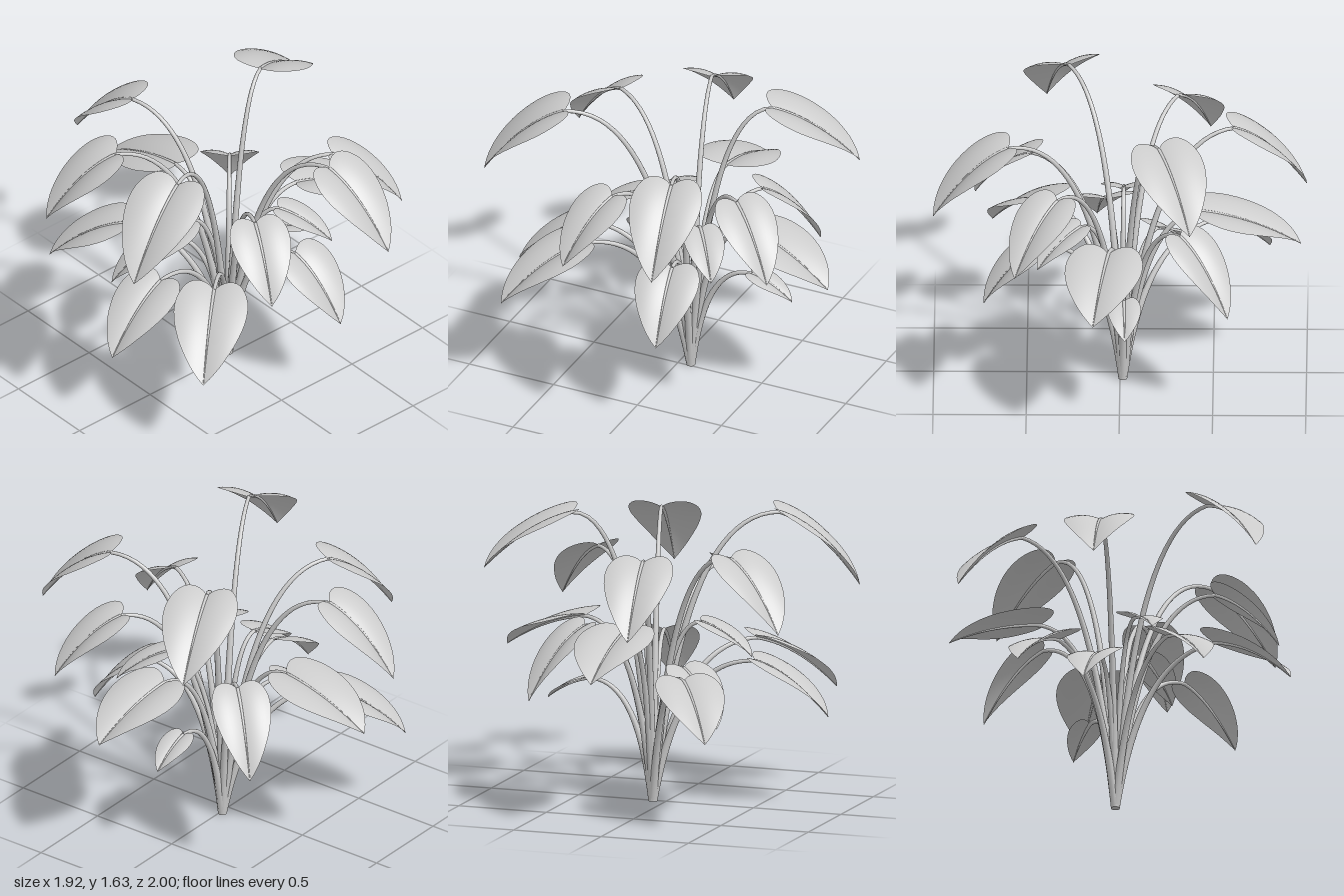
import * as THREE from 'three';

const ROOT = new THREE.Vector3(0.07, 0, -0.015);

// Each leaf: tip x, y, z, share of the reach where the blade begins,
// height there, blade width, sideways sway of the blade's neck
const LEAVES = [
  [-0.15, 1.07, -1.0, 0.58, 1.43, 0.37, 0.03],
  [0.07, 0.82, -0.97, 0.41, 1.01, 0.42, 0],
  [-0.52, 0.5, -0.8, 0.55, 0.77, 0.37, 0],
  [-0.82, 1.06, -0.48, 0.59, 1.42, 0.38, 0],
  [-0.435, 0.5, -0.39, 0.44, 0.78, 0.3, 0],
  [0.57, 0.62, -0.58, 0.51, 1.0, 0.32, 0],
  [0.9, 1.29, -0.38, 0.44, 1.59, 0.4, 0.02],
  [0.96, 0.77, 0.14, 0.43, 0.97, 0.42, 0],
  [0.8, 0.98, 0.56, 0.57, 1.3, 0.33, 0],
  [0.41, 0.83, 0.44, 0.45, 1.0, 0.22, 0],
  [0.665, 0.53, -0.03, 0.57, 0.65, 0.18, 0],
  [0.325, 1.11, 1.0, 0.58, 1.48, 0.39, 0.025],
  [0.22, 0.53, 0.73, 0.55, 0.85, 0.35, 0.01],
  [-0.31, 0.93, 0.78, 0.58, 1.24, 0.33, 0],
  [-0.72, 0.55, 0.69, 0.53, 0.85, 0.4, 0],
  [-0.96, 1.18, 0.4, 0.58, 1.57, 0.42, 0.04],
  [-0.88, 0.5, 0.13, 0.55, 0.79, 0.36, 0],
  [-0.5, 0.83, -0.02, 0.45, 1.0, 0.25, 0],
];

// Half outline of the heart-shaped blade: (sideways, along the midrib)
const OUTLINE = new THREE.CatmullRomCurve3([
  [0, 0], [0.12, -0.05], [0.35, -0.09], [0.62, -0.07], [0.85, 0.04], [0.98, 0.2],
  [0.98, 0.37], [0.82, 0.59], [0.49, 0.81], [0.19, 0.94], [0, 1],
].map(([x, v]) => new THREE.Vector3(x, v, 0)));

const green = new THREE.MeshStandardMaterial({ color: 0xcccccc });
const bladeMaterial = new THREE.MeshStandardMaterial({ color: 0xcccccc, side: THREE.DoubleSide });

// Tube whose radius runs from r0 to r1
function taperedTube(curve, segments, r0, r1) {
  const sides = 10;
  const geometry = new THREE.TubeGeometry(curve, segments, 1, sides);
  const pos = geometry.attributes.position;
  const p = new THREE.Vector3();
  for (let i = 0; i < pos.count; i++) {
    const u = Math.floor(i / (sides + 1)) / segments;
    const centre = curve.getPointAt(u);
    p.fromBufferAttribute(pos, i).sub(centre).multiplyScalar(r0 + (r1 - r0) * u).add(centre);
    pos.setXYZ(i, p.x, Math.max(0, p.y), p.z);
  }
  return geometry;
}

// One half of a blade, swept from the midrib out to the outline
function halfBlade(midrib, side, width, sign) {
  const rows = 28, cols = 8;
  const positions = [], index = [];
  const tangent = new THREE.Vector3(), up = new THREE.Vector3();
  for (let i = 0; i <= rows; i++) {
    const edge = OUTLINE.getPointAt(i / rows);
    for (let j = 0; j <= cols; j++) {
      const s = j / cols;
      const x = edge.x * s;
      const v = THREE.MathUtils.lerp(i / rows, edge.y, s);
      midrib.getTangent(Math.max(v, 0.001), tangent);
      up.crossVectors(side, tangent);
      if (up.y < 0) up.negate();
      const p = midrib.getPoint(v)
        .addScaledVector(side, sign * x * width / 2)
        .addScaledVector(up, (0.48 * x - 0.4 * x * x) * width / 2);
      positions.push(p.x, p.y, p.z);
      if (i < rows && j < cols) {
        const a = i * (cols + 1) + j, b = a + 1, c = a + cols + 1, d = c + 1;
        if (sign > 0) index.push(a, c, b, b, c, d);
        else index.push(a, b, c, b, d, c);
      }
    }
  }
  const geometry = new THREE.BufferGeometry();
  geometry.setAttribute('position', new THREE.Float32BufferAttribute(positions, 3));
  geometry.setIndex(index);
  geometry.computeVertexNormals();
  return geometry;
}

function addMesh(parent, name, geometry, material) {
  const mesh = new THREE.Mesh(geometry, material);
  mesh.name = name;
  parent.add(mesh);
  return mesh;
}

function createLeaf([tx, ty, tz, start, height, width, sway]) {
  const leaf = new THREE.Group();
  leaf.name = 'leaf';
  const tip = new THREE.Vector3(tx, ty, tz);
  const side = new THREE.Vector3(tz - ROOT.z, 0, ROOT.x - tx).normalize();
  // Point above the line from root to tip
  const along = (f, y) => ROOT.clone().lerp(tip, f).setY(y);
  const joint = start + (1 - start) * 0.08;
  const neck = along(joint, height).addScaledVector(side, sway);

  // Stalk rises steeply and arches over
  const stalk = new THREE.CubicBezierCurve3(
    ROOT, along(0.13 * joint, 0.48 * height), along(0.36 * joint, height * 1.01), neck);
  addMesh(leaf, 'stalk', taperedTube(stalk, 36, 0.024, 0.01), green);

  // Midrib carries on from the stalk and droops to the tip
  const bend = along((joint + 1) / 2, height - 0.18 * (height - ty)).addScaledVector(side, sway * 0.7);
  const midrib = new THREE.QuadraticBezierCurve3(neck, bend, tip);
  addMesh(leaf, 'midrib', taperedTube(midrib, 20, 0.01, 0.002), green);

  // Folded blade in two halves
  addMesh(leaf, 'bladeHalf', halfBlade(midrib, side, width, 1), bladeMaterial);
  addMesh(leaf, 'bladeHalf', halfBlade(midrib, side, width, -1), bladeMaterial);
  return leaf;
}

export function createModel() {
  const plant = new THREE.Group();
  plant.name = 'leafyPlant';
  LEAVES.forEach((spec) => plant.add(createLeaf(spec)));

  // Cut end where the stalks meet
  const base = addMesh(plant, 'stalkBase', new THREE.CylinderGeometry(0.026, 0.024, 0.02, 16), green);
  base.position.copy(ROOT).setY(0.01);
  return plant;
}
